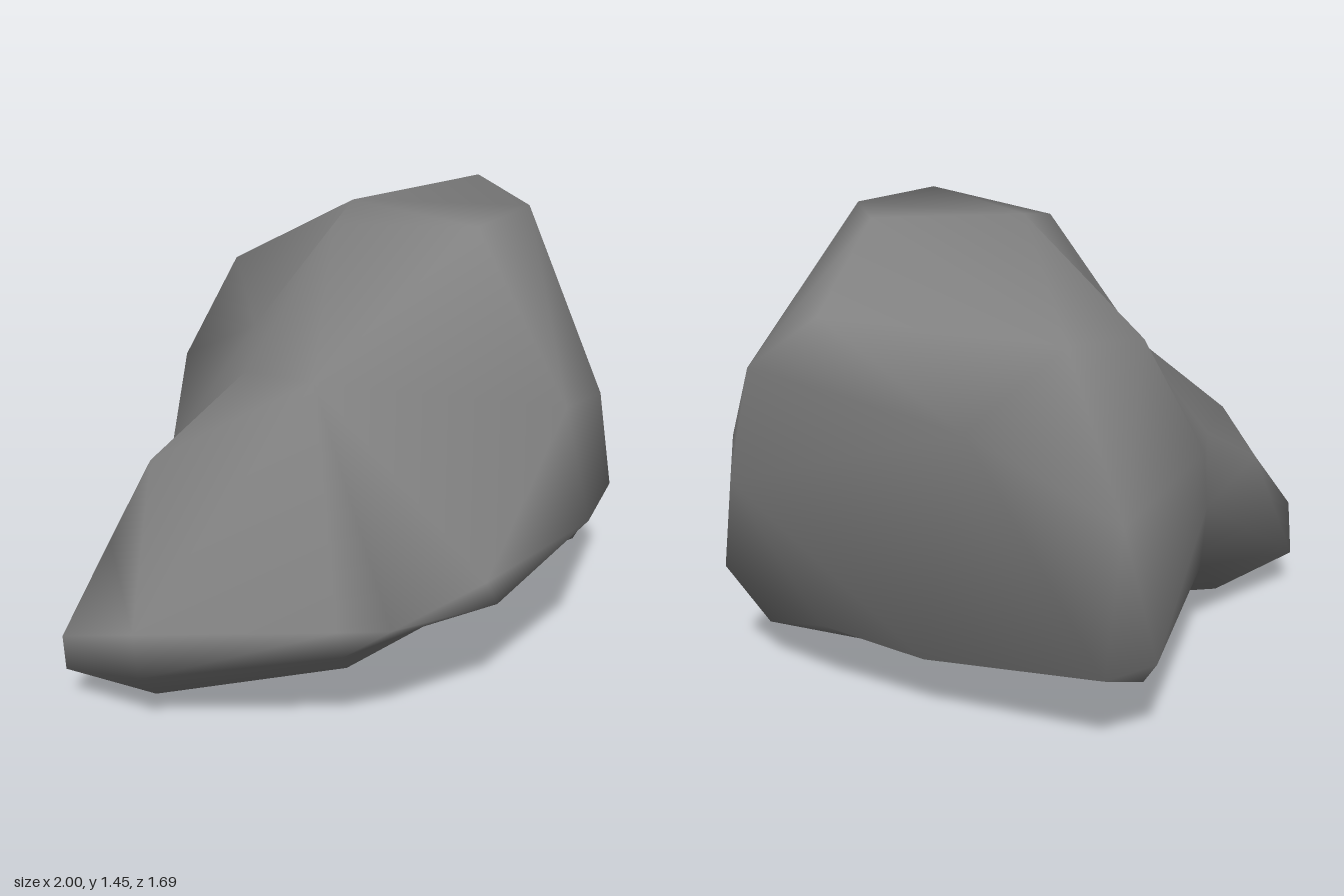
import * as THREE from 'three';
import { ConvexGeometry } from 'three/addons/geometries/ConvexGeometry.js';
import { mergeVertices } from 'three/addons/utils/BufferGeometryUtils.js';

// Corners of the boulder, grouped by region: [x, y, z]
const crown = [
  [-.06, 1.40, .04], [.17, 1.443, .43], [.55, 1.452, -.05], [.47, 1.437, .30], [.08, 1.43, -.07],
];
const rightSide = [
  [.82, 1.27, -.38], [.96, 1.09, -.16], [.985, .86, -.04], [1, .72, -.03], [.98, .35, .21],
  [.86, .15, .17], [.78, .25, -.12], [.74, .80, .38],
];
const frontSide = [
  [.28, .97, .725], [.44, .55, .68], [-.08, .57, .84], [.03, .43, .76],
  [-.34, .46, .76], [-.46, .45, .67], [-.43, .35, .65], [-.31, 1.04, .32],
  [.35, .24, .43], [0, .21, .45], [.60, .20, .25],
];
const backSide = [
  [.21, 1.175, -.62], [-.06, 1.15, -.56], [.54, 1.0, -.69], [.12, .70, -.79], [-.22, .815, -.64],
  [.20, .28, -.84], [.04, .30, -.85], [.03, .20, -.76], [.56, .22, -.40],
];
const underside = [[-.17, .03, .28], [.56, .07, .05], [.11, .09, .10], [.25, .10, -.15]];
const neck = [
  [-.35, .98, 0], [-.20, 1.04, -.20], [-.50, .70, -.21], [-.46, .48, -.29], [-.45, .27, -.28],
];
const spur = [
  [-.64, .73, -.08], [-.80, .52, -.05], [-.88, .37, .25], [-.87, .22, .25],
  [-1, .29, .02], [-.97, .13, -.05], [-.72, 0, .04],
];

// Wrap a skin over corners that surround a centre: draw them in toward a
// sphere, take the hull, then move each vertex back out to its own radius.
function wrap(corners, centre, power) {
  const drawnIn = corners.map((corner) => {
    const v = new THREE.Vector3(...corner).sub(centre);
    return v.setLength(Math.pow(v.length(), power));
  });
  const hull = new ConvexGeometry(drawnIn);
  hull.deleteAttribute('normal');
  const position = hull.attributes.position;
  const v = new THREE.Vector3();
  for (let i = 0; i < position.count; i++) {
    v.fromBufferAttribute(position, i);
    v.setLength(Math.pow(v.length(), 1 / power)).add(centre);
    position.setXYZ(i, v.x, v.y, v.z);
  }
  const skin = mergeVertices(hull, 0.001);
  skin.computeVertexNormals();
  return skin;
}

export function createModel() {
  const group = new THREE.Group();
  group.name = 'rock';

  const stone = new THREE.MeshStandardMaterial({ color: 0x808080 });
  stone.name = 'grey stone';

  // One boulder with a low spur reaching toward -x
  const corners = [
    ...crown, ...rightSide, ...frontSide, ...backSide, ...underside, ...neck, ...spur,
  ];
  const centre = new THREE.Vector3(-.05, .55, .05);
  const boulder = new THREE.Mesh(wrap(corners, centre, 0.1), stone);
  boulder.name = 'boulder';
  group.add(boulder);

  return group;
}
